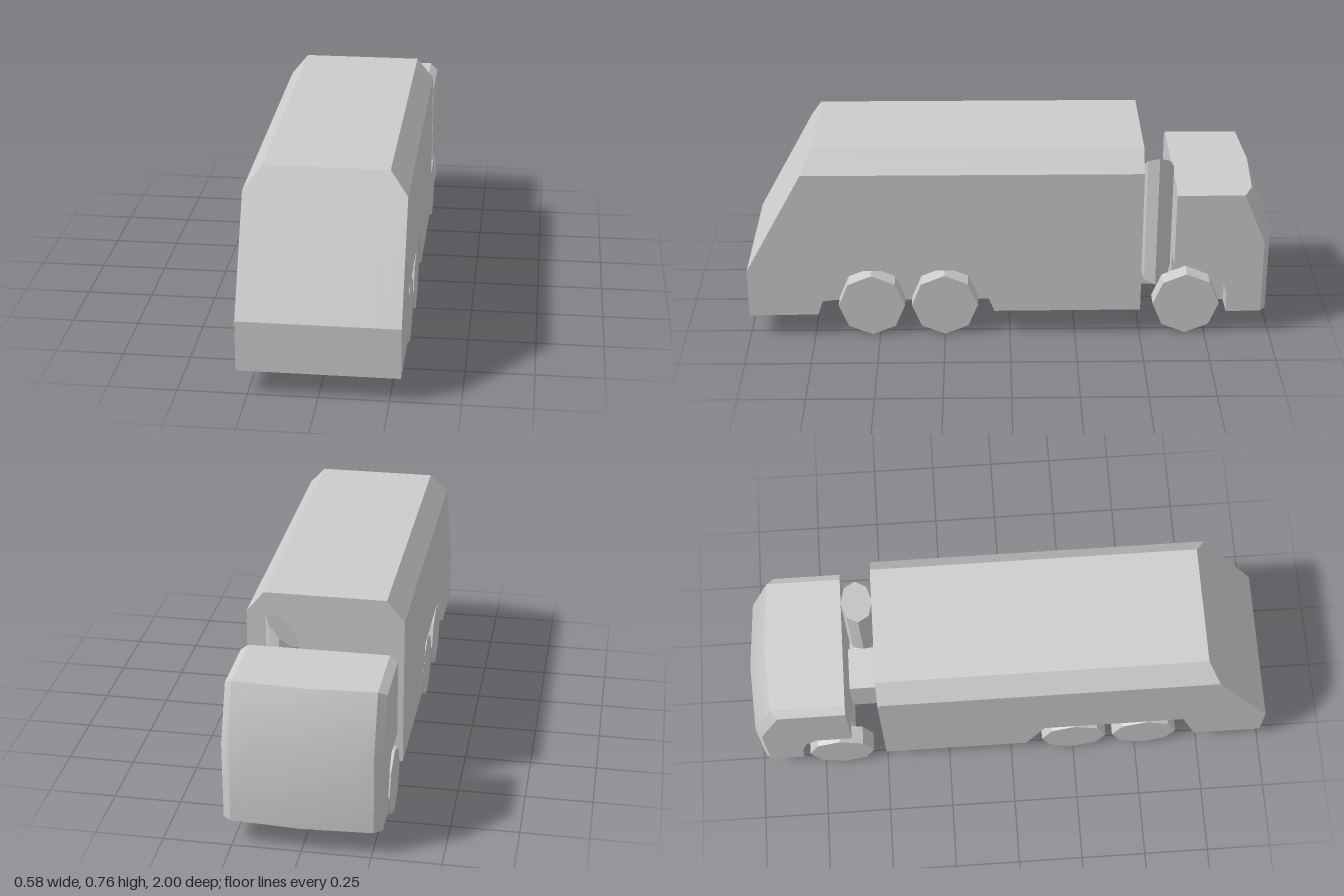
import * as THREE from 'three';
import { toCreasedNormals } from 'three/addons/utils/BufferGeometryUtils.js';

const CREASE = 0.45;

// Skin a list of equal-length loops of [x, y, z] points and cap both ends
function loft(loops) {
  const pos = [];
  const tri = (a, b, c) => {
    const t = new THREE.Triangle(new THREE.Vector3(...a), new THREE.Vector3(...b), new THREE.Vector3(...c));
    if (t.getArea() > 1e-8) pos.push(...a, ...b, ...c);
  };
  const n = loops[0].length;
  for (let i = 0; i < loops.length - 1; i++) {
    for (let j = 0; j < n; j++) {
      const k = (j + 1) % n;
      const a = loops[i][j], b = loops[i][k], c = loops[i + 1][k], d = loops[i + 1][j];
      tri(a, d, c);
      tri(a, c, b);
    }
  }
  const cap = (loop, end) => {
    const flat = loop.map(([, y, z]) => new THREE.Vector2(z, y));
    const flip = end && !THREE.ShapeUtils.isClockWise(flat);
    for (const [a, b, c] of THREE.ShapeUtils.triangulateShape(flat, [])) {
      if (flip) tri(loop[a], loop[c], loop[b]);
      else tri(loop[a], loop[b], loop[c]);
    }
  };
  cap(loops[0], false);
  cap(loops[loops.length - 1], true);
  const g = new THREE.BufferGeometry();
  g.setAttribute('position', new THREE.Float32BufferAttribute(pos, 3));
  g.computeVertexNormals();
  return toCreasedNormals(g, CREASE);
}

// Loft side profiles of [z, y] points across x, mirrored about the middle
function mirroredLoft(half) {
  const all = [
    ...half.map(([x, p]) => [-x, p]),
    ...half.slice().reverse().filter(([x]) => x > 0),
  ];
  return loft(all.map(([x, p]) => p.map(([z, y]) => [x, y, z])));
}

// Side profile of the refuse body, with or without the wheel arch cut out
function bodyProfile(arch, topZ, topY) {
  const y = arch ? 0.28 : 0.1;
  return [
    [-0.5, 0.105], [0.06, 0.103], [0.13, y], [0.675, y], [0.735, 0.092],
    [1, 0.09], [1, 0.28], [topZ, topY], [-0.5, topY],
  ];
}

// Side profile of the cab, with or without the wheel arch cut out
function cabProfile(arch, front, breakY, roofZ, roofY) {
  const low = 0.093;
  const h = (y) => (arch ? y : low);
  return [
    [front, low], [-0.83, low], [-0.83, h(0.17)], [-0.807, h(0.25)], [-0.765, h(0.295)],
    [-0.625, h(0.295)], [-0.625, roofY], [roofZ, roofY], [front, breakY],
  ];
}

export function createModel() {
  const group = new THREE.Group();
  const grey = new THREE.MeshStandardMaterial({ color: 0xcccccc });
  grey.name = 'light grey';

  const add = (name, geometry, x = 0, y = 0, z = 0) => {
    const mesh = new THREE.Mesh(geometry, grey);
    mesh.name = name;
    mesh.position.set(x, y, z);
    group.add(mesh);
  };

  // Refuse body with chamfered roof edges and recessed rear wheel arches
  add('body', mirroredLoft([
    [0.29, bodyProfile(true, 0.779, 0.68)],
    [0.225, bodyProfile(true, 0.735, 0.76)],
    [0.19, bodyProfile(true, 0.735, 0.76)],
    [0.19, bodyProfile(false, 0.735, 0.76)],
  ]));

  // Cab with a bowed front, chamfered sides and recessed arches
  add('cab', mirroredLoft([
    [0.285, cabProfile(true, -0.963, 0.388, -0.88, 0.587)],
    [0.256, cabProfile(true, -0.985, 0.4, -0.905, 0.608)],
    [0.19, cabProfile(true, -0.989, 0.4, -0.909, 0.608)],
    [0.19, cabProfile(false, -0.989, 0.4, -0.909, 0.608)],
    [0, cabProfile(false, -1, 0.4, -0.92, 0.608)],
  ]));

  // Chassis link between cab and body
  add('chassis', new THREE.BoxGeometry(0.166, 0.195, 0.2), 0, 0.2025, -0.58);

  // Exhaust: stub out of the chassis, mitred elbow, upright with a slanted cut
  const r = 0.06, px = 0.145, pz = -0.563;
  const ring = (point) => Array.from({ length: 8 }, (_, i) => {
    const a = (i * Math.PI) / 4;
    const [x, y] = point(r * Math.sin(a));
    return [x, y, pz + r * Math.cos(a)];
  });
  add('exhaust', loft([
    ring((s) => [0.05, 0.225 + s]),
    ring((s) => [px - s, 0.225 + s]),
    ring((s) => [px - s, 0.643 - s]),
  ]));

  // Three axles with eight-sided wheels
  const roller = (radius, width) => toCreasedNormals(
    new THREE.CylinderGeometry(radius, radius, width, 8).rotateZ(Math.PI / 2), CREASE);
  const wheel = roller(0.127, 0.07);
  const axle = roller(0.058, 0.44);
  [['front', -0.675], ['middle', 0.25], ['rear', 0.53]].forEach(([name, z]) => {
    add(name + 'Axle', axle, 0, 0.128, z);
    add(name + 'WheelLeft', wheel, 0.25, 0.127, z);
    add(name + 'WheelRight', wheel, -0.25, 0.127, z);
  });

  return group;
}
